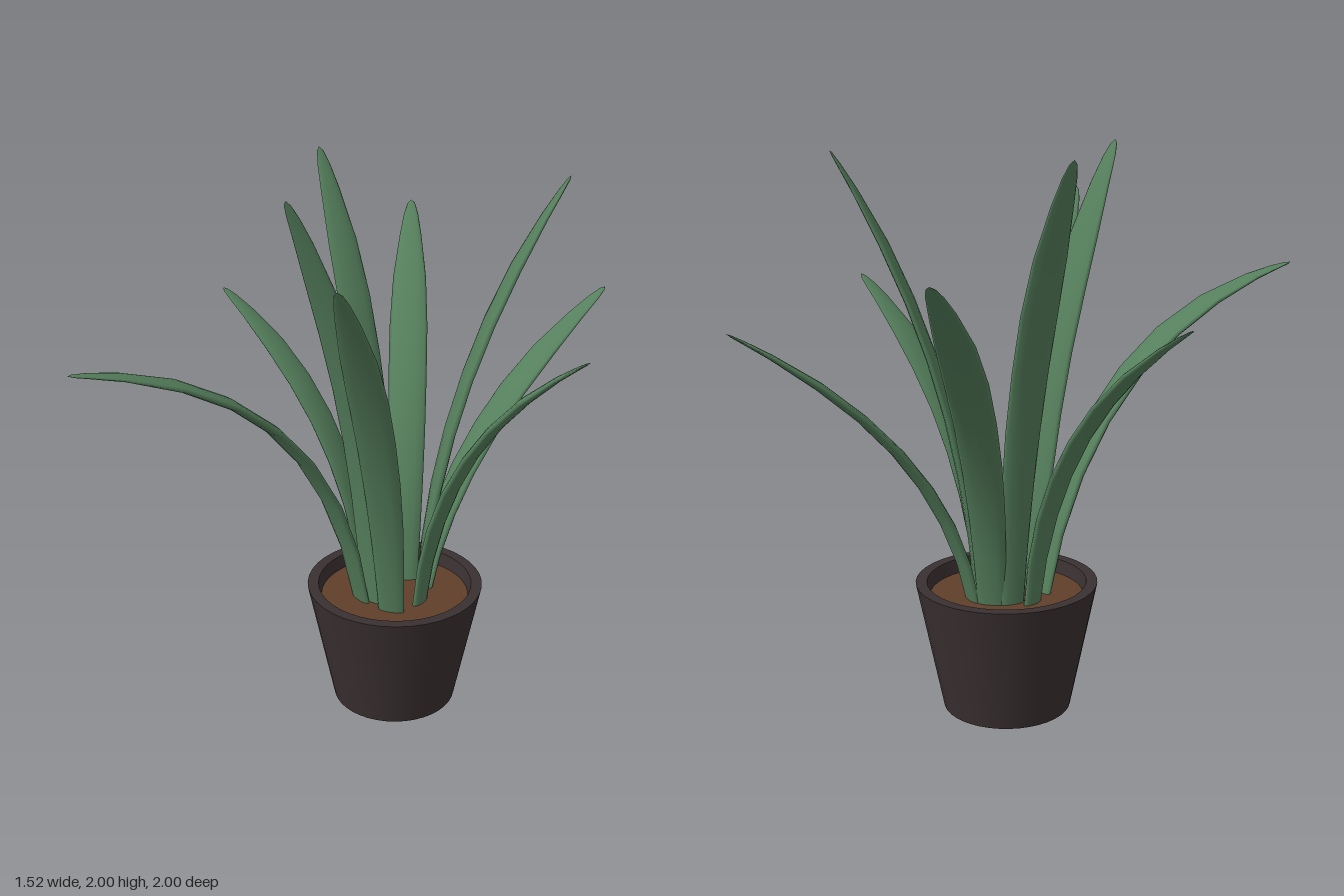
import * as THREE from 'three';
import { toCreasedNormals } from 'three/addons/utils/BufferGeometryUtils.js';

const SIDES = 12;
// Half-width along the leaf, as [t, fraction of full half-width]
const PROFILE = [[0, 0.68], [0.13, 0.8], [0.26, 0.9], [0.39, 0.97], [0.52, 1], [0.65, 1],
  [0.78, 0.88], [0.9, 0.58], [0.96, 0.38], [0.99, 0.2], [1, 0]];

// Lens-shaped blade swept along an arching curve
function leafGeometry(base, control, tip, halfWidth) {
  const curve = new THREE.QuadraticBezierCurve3(base, control, tip);
  const side = new THREE.Vector3(tip.z - base.z, 0, base.x - tip.x).normalize();
  const positions = [], index = [];
  PROFILE.forEach(([t, f], i) => {
    const centre = curve.getPoint(t);
    const normal = curve.getTangent(t).cross(side).normalize();
    const thick = 0.021 * Math.min(1, f * 1.1) * (1 - 0.35 * t);
    for (let j = 0; j < SIDES; j++) {
      const a = (j / SIDES) * Math.PI * 2;
      const p = centre.clone()
        .addScaledVector(side, Math.cos(a) * halfWidth * f)
        .addScaledVector(normal, Math.sin(a) * thick);
      positions.push(p.x, p.y, p.z);
      if (i === 0) continue;
      const k = (j + 1) % SIDES, lo = (i - 1) * SIDES, hi = i * SIDES;
      index.push(lo + j, lo + k, hi + j, lo + k, hi + k, hi + j);
    }
  });
  const geometry = new THREE.BufferGeometry();
  geometry.setAttribute('position', new THREE.Float32BufferAttribute(positions, 3));
  geometry.setIndex(index);
  geometry.computeVertexNormals();
  return geometry;
}

export function createModel() {
  const model = new THREE.Group();
  model.name = 'pottedPlant';
  const material = (name, color) => {
    const m = new THREE.MeshStandardMaterial({ color });
    m.name = name;
    return m;
  };
  const leafGreen = material('leafGreen', 0x557f5c);
  const potBrown = material('potDarkBrown', 0x3a3031);
  const soilBrown = material('soilBrown', 0x5f3f29);

  // Tapered pot with a hollow rim
  const potProfile = [[0, 0], [0.23, 0], [0.325, 0.47], [0.285, 0.47], [0.27, 0.4]]
    .map(([x, y]) => new THREE.Vector2(x, y));
  const pot = new THREE.Mesh(toCreasedNormals(new THREE.LatheGeometry(potProfile, 40), 0.6), potBrown);
  pot.name = 'pot';
  pot.position.set(0.02, 0, -0.1);
  model.add(pot);

  // Soil disc just below the rim
  const soil = new THREE.Mesh(new THREE.CircleGeometry(0.277, 40), soilBrown);
  soil.name = 'soil';
  soil.rotation.x = -Math.PI / 2;
  soil.position.set(0.02, 0.42, -0.1);
  model.add(soil);

  // Leaves: base x, z; tip x, y, z; control fraction outward, control height; half-width
  const leaves = [
    [-0.02, -0.01, -0.05, 2.0, 0.4, 0.05, 1.3, 0.076],
    [0.08, 0.01, 0.26, 1.81, 0.56, 0.15, 1.2, 0.07],
    [-0.06, 0.0, -0.42, 1.54, 1.0, 0.14, 1.37, 0.072],
    [0.09, -0.17, 0.46, 1.98, -0.48, 0.1, 1.3, 0.068],
    [-0.06, -0.16, -0.5, 1.98, -0.36, 0.12, 1.3, 0.066],
    [-0.01, -0.21, -0.48, 1.67, -0.94, 0.08, 1.2, 0.072],
    [0.07, -0.22, 0.365, 1.445, -1.0, 0.12, 1.02, 0.068],
    [0.13, -0.1, 0.76, 1.5, -0.095, 0.1, 1.125, 0.06],
    [-0.11, -0.11, -0.76, 1.47, -0.1, 0.1, 1.12, 0.06],
  ];
  const foliage = new THREE.Group();
  foliage.name = 'leaves';
  leaves.forEach(([bx, bz, tx, ty, tz, out, cy, halfWidth], i) => {
    const base = new THREE.Vector3(bx, 0.4, bz);
    const tip = new THREE.Vector3(tx, ty, tz);
    const control = base.clone().lerp(tip, out).setY(cy);
    const leaf = new THREE.Mesh(leafGeometry(base, control, tip, halfWidth), leafGreen);
    leaf.name = `leaf${i + 1}`;
    foliage.add(leaf);
  });
  model.add(foliage);
  return model;
}
